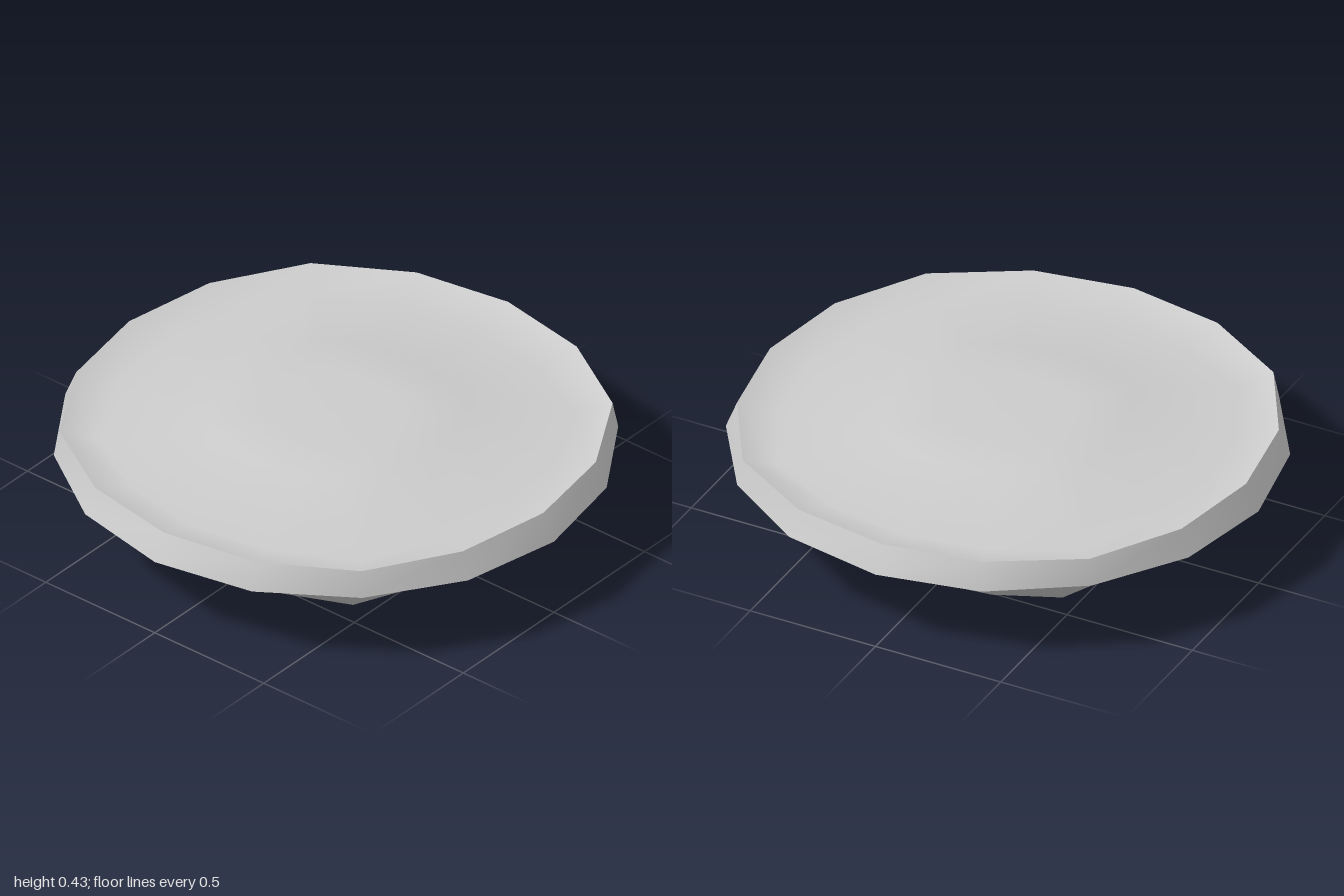
import * as THREE from 'three';

const SIDES = 16;

// Each ring is [radius on the axes, radius at 22.5 degrees, radius on the diagonals, height].
// Rings run from the bottom centre outwards, or from the rim inwards.
function ringSurface(name, rings, material) {
  const positions = [];
  const index = [];
  for (const [axis, between, diagonal, y] of rings) {
    const radii = [axis, between, diagonal, between];
    for (let i = 0; i < SIDES; i++) {
      const a = (i / SIDES) * Math.PI * 2;
      const r = radii[i % 4];
      positions.push(r * Math.sin(a), y, r * Math.cos(a));
    }
  }
  for (let k = 0; k < rings.length - 1; k++) {
    for (let i = 0; i < SIDES; i++) {
      const j = (i + 1) % SIDES;
      const a = k * SIDES + i, b = k * SIDES + j;
      const c = b + SIDES, d = a + SIDES;
      if (rings[k][0] > 0) index.push(a, b, c);
      else index.push(a, c, d);
      if (rings[k][0] > 0 && rings[k + 1][0] > 0) index.push(a, c, d);
    }
  }
  // Close a pole with one shared vertex so its shading stays smooth
  const poleRing = rings.findIndex((r) => r[0] === 0);
  const merged = index.map((v) => (Math.floor(v / SIDES) === poleRing ? poleRing * SIDES : v));
  const geometry = new THREE.BufferGeometry();
  geometry.setAttribute('position', new THREE.Float32BufferAttribute(positions, 3));
  geometry.setIndex(merged);
  geometry.computeVertexNormals();
  const mesh = new THREE.Mesh(geometry, material);
  mesh.name = name;
  return mesh;
}

export function createModel() {
  const gray = new THREE.MeshStandardMaterial({ color: 0xcccccc });
  gray.name = 'light gray';

  const model = new THREE.Group();
  model.name = 'dish';

  // Rounded, slightly square underside
  model.add(ringSurface('underside', [
    [0, 0, 0, 0],
    [0.3, 0.32, 0.36, 0],
    [0.59, 0.61, 0.655, 0.04],
    [0.76, 0.82, 0.82, 0.205],
    [1, 1, 1, 0.3],
  ], gray));

  // Sharp-edged outer band
  model.add(ringSurface('rimBand', [
    [1, 1, 1, 0.3],
    [0.95, 0.96, 0.98, 0.4],
  ], gray));

  // Sunken groove inside the rim, rising to a shallow dome
  model.add(ringSurface('domedTop', [
    [0.95, 0.96, 0.98, 0.4],
    [0.8, 0.81, 0.85, 0.355],
    [0.42, 0.43, 0.46, 0.425],
    [0.23, 0.24, 0.26, 0.432],
    [0, 0, 0, 0.433],
  ], gray));

  return model;
}
